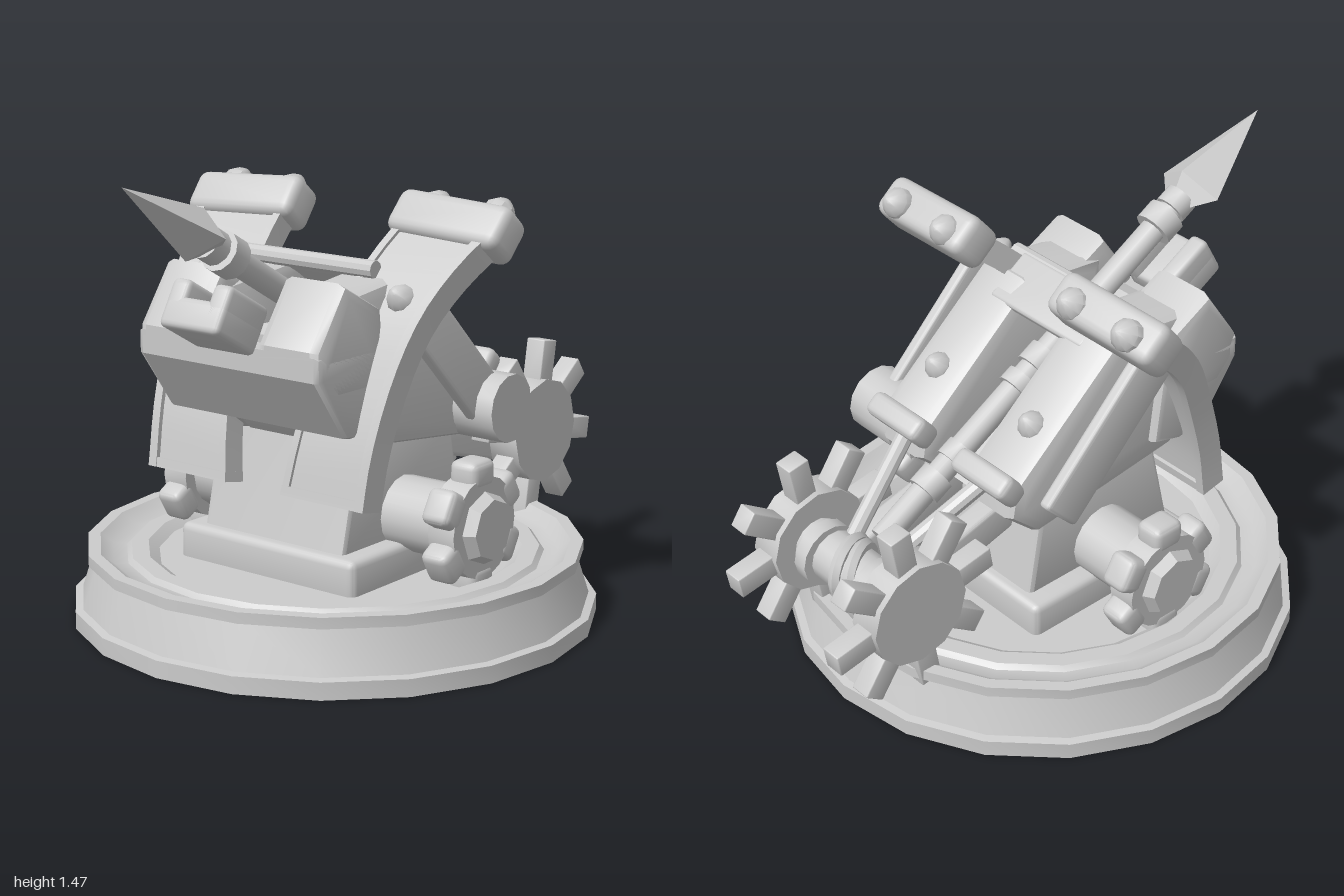
import * as THREE from 'three';
import { toCreasedNormals } from 'three/addons/utils/BufferGeometryUtils.js';
import { RoundedBoxGeometry } from 'three/addons/geometries/RoundedBoxGeometry.js';

const material = new THREE.MeshStandardMaterial({ color: 0xcccccc });

function add(parent, name, geo, x = 0, y = 0, z = 0, rx = 0) {
  const mesh = new THREE.Mesh(toCreasedNormals(geo, 0.6), material);
  mesh.name = name;
  mesh.position.set(x, y, z);
  mesh.rotation.x = rx;
  parent.add(mesh);
  return mesh;
}

const box = (w, h, d, r = 0.02) => new RoundedBoxGeometry(w, h, d, 2, r);
const cyl = (r1, r2, h, n = 14) => new THREE.CylinderGeometry(r1, r2, h, n);
const axle = (r, w, n = 14) => cyl(r, r, w, n).rotateZ(Math.PI / 2);

// side profile of [z, y] points extruded from x0 to x1, with rounded edges
function slab(points, x0, x1, bevel = 0.02) {
  const shape = new THREE.Shape(points.map(([z, y]) => new THREE.Vector2(z, y)));
  return new THREE.ExtrudeGeometry(shape, {
    depth: x1 - x0 - 2 * bevel, bevelEnabled: true, bevelSize: bevel,
    bevelOffset: -bevel, bevelThickness: bevel, bevelSegments: 2,
  }).rotateY(-Math.PI / 2).translate(x1 - bevel, 0, 0);
}

function rod(parent, name, a, b, r) {
  const A = new THREE.Vector3(...a), B = new THREE.Vector3(...b);
  const mesh = add(parent, name, cyl(r, r, A.distanceTo(B), 10));
  mesh.position.copy(A).lerp(B, 0.5);
  mesh.quaternion.setFromUnitVectors(new THREE.Vector3(0, 1, 0), B.sub(A).normalize());
}

// pointed bolt facing up before its tilt
function bolt(parent, x, y, z, tilt, r = 0.045) {
  const profile = [[r, -0.03], [r, 0.01], [r * 0.7, 0.032], [r * 0.3, 0.05], [0, 0.055]];
  add(parent, 'bolt', new THREE.LatheGeometry(profile.map(p => new THREE.Vector2(...p)), 10), x, y, z, tilt);
}

// toothed wheel turning about x
function wheel(parent, name, [x, y, z], o) {
  const g = new THREE.Group();
  g.name = name;
  g.position.set(x, y, z);
  add(g, 'disc', axle(o.disc, o.discWidth, o.sides));
  for (let i = 0; i < o.teeth; i++) {
    const a = i * Math.PI * 2 / o.teeth + o.turn;
    const length = o.outer - o.disc + 0.04, mid = o.outer - length / 2;
    add(g, 'tooth', box(o.toothWidth, length, o.tooth, o.round), 0, mid * Math.cos(a), mid * Math.sin(a), a);
  }
  parent.add(g);
}

// curved bow limb: a bent box, t runs up the limb, u across it
const limbPath = new THREE.CatmullRomCurve3([
  [0.42, 0.475], [0.385, 0.65], [0.31, 0.86], [0.23, 1.02], [0.12, 1.15], [-0.01, 1.26],
].map(([z, y]) => new THREE.Vector3(0, y, z)));

function limbStrip(u0, u1, depth, t0 = 0, t1 = 1) {
  const geo = new THREE.BoxGeometry(1, 1, 1, 1, 14, 1), p = geo.attributes.position;
  for (let i = 0; i < p.count; i++) {
    const t = t0 + (t1 - t0) * (p.getY(i) + 0.5), u = u0 + (u1 - u0) * (p.getX(i) + 0.5);
    const c = limbPath.getPoint(t), d = limbPath.getTangent(t);
    const inner = 0.11 + 0.12 * t, outer = 0.43 + 0.01 * t + 0.15 * t * t;
    const n = p.getZ(i) * depth;
    p.setXYZ(i, inner + (outer - inner) * u, c.y - d.z * n, c.z + d.y * n);
  }
  return geo;
}

// everything that exists on both sides, built for +x
function buildSide() {
  const g = new THREE.Group();

  // cheek, front shoulder and rear cap of the housing
  add(g, 'cheek', slab([[0.42, 0.7], [0.42, 1.1], [0.1, 1.135], [-0.33, 0.77], [-0.35, 0.66],
    [-0.24, 0.56], [0.33, 0.63]], 0.1, 0.325, 0.04));
  add(g, 'frontShoulder', slab([[0.575, 0.88], [0.575, 0.97], [0.445, 1.155], [0.27, 1.06],
    [0.24, 0.8], [0.5, 0.8]], 0.115, 0.358, 0.035));
  add(g, 'rearCap', box(0.24, 0.11, 0.08, 0.025), 0.205, 0.765, -0.345, -0.7);
  bolt(g, 0.22, 0.89, -0.18, -0.7);

  // bow limb with raised border, end block and bolts
  add(g, 'bowLimb', limbStrip(0.02, 0.98, 0.06));
  add(g, 'limbOuterEdge', limbStrip(0.9, 1, 0.09));
  add(g, 'limbInnerEdge', limbStrip(0, 0.08, 0.08));
  add(g, 'limbFoot', limbStrip(0, 1, 0.085, 0, 0.035));
  const head = add(g, 'limbHead', box(0.42, 0.15, 0.14, 0.035), 0.405, 1.27, -0.02, -0.7);
  head.rotation.z = -0.06;
  for (const x of [0.29, 0.52]) bolt(g, x, 1.315, -0.085, -0.95, 0.05);
  bolt(g, 0.38, 1.08, 0.215, 0.95);

  // flat strut from the pivot to the back of the limb
  add(g, 'limbStrut', box(0.045, 0.58, 0.17, 0.015), 0.39, 0.87, -0.025, 0.79);

  // base wheel on the main axle
  wheel(g, 'baseWheel', [0.54, 0.375, 0.065],
    { teeth: 6, disc: 0.16, discWidth: 0.095, sides: 18, outer: 0.21, toothWidth: 0.1, tooth: 0.115, round: 0.025, turn: 0 });
  add(g, 'wheelHub', cyl(0.115, 0.095, 0.035, 8).rotateZ(Math.PI / 2), 0.605, 0.375, 0.065);

  // winch wheel, flange, cord and bracket
  wheel(g, 'winchWheel', [0.245, 0.48, -0.695],
    { teeth: 8, disc: 0.175, discWidth: 0.11, sides: 12, outer: 0.302, toothWidth: 0.07, tooth: 0.075, round: 0.004, turn: -0.17 });
  add(g, 'drumFlange', axle(0.105, 0.05), 0.13, 0.48, -0.72);
  rod(g, 'winchCord', [0.08, 0.52, -0.66], [0.18, 0.73, -0.35], 0.028);
  add(g, 'winchBracket', box(0.08, 0.12, 0.56, 0.015), 0.12, 0.49, -0.4, -0.27);
  return g;
}

export function createModel() {
  const model = new THREE.Group();
  model.name = 'ballistaTurret';

  // round hollow base
  const profile = [[0, 0.175], [0.58, 0.175], [0.61, 0.15], [0.7, 0.15], [0.73, 0.12], [0.78, 0], [0.84, 0],
    [0.84, 0.055], [0.815, 0.06], [0.772, 0.195], [0.795, 0.2], [0.795, 0.235], [0.755, 0.235], [0.715, 0.205],
    [0.67, 0.2], [0.655, 0.215], [0.6, 0.215], [0.565, 0.19], [0, 0.19]];
  add(model, 'base', new THREE.LatheGeometry(profile.map(p => new THREE.Vector2(...p)), 20), 0, 0, 0.06);
  add(model, 'pedestalPlate', box(0.7, 0.14, 0.69, 0.025), 0, 0.23, 0.065);
  add(model, 'pedestal', slab([[0.375, 0.28], [0.285, 0.66], [-0.19, 0.62], [-0.245, 0.28]], -0.28, 0.28));
  add(model, 'mainAxle', axle(0.117, 1.16, 16), 0, 0.372, 0.065);

  // full-width front plate and housing floor below the spear channel
  add(model, 'frontPlate', slab([[0.575, 0.88], [0.575, 0.955], [0.25, 0.955], [0.22, 0.7],
    [0.33, 0.67], [0.44, 0.69]], -0.358, 0.358, 0.02));
  add(model, 'channelFloor', slab([[0.5, 0.85], [0.5, 0.98], [0.44, 1], [-0.3, 0.63],
    [-0.24, 0.565], [0.33, 0.63], [0.4, 0.7]], -0.13, 0.13, 0.012));

  // spear rest at the front
  const rest = new THREE.Group();
  rest.name = 'spearRest';
  rest.position.set(0, 1.05, 0.62);
  rest.rotation.x = -Math.PI / 6;
  add(rest, 'restBlock', box(0.23, 0.1, 0.2), 0, -0.035, 0);
  for (const s of [-1, 1]) add(rest, 'restProng', box(0.07, 0.15, 0.2), s * 0.08, -0.005, 0);
  model.add(rest);

  // mirrored halves
  for (const s of [1, -1]) {
    const side = buildSide();
    side.name = s > 0 ? 'leftSide' : 'rightSide';
    side.scale.x = s;
    model.add(side);
  }
  add(model, 'pivotDrum', axle(0.11, 0.19, 14), 0.38, 0.672, -0.235);

  // bridge over the channel
  add(model, 'bridgePlate', box(0.42, 0.04, 0.18, 0.012), 0, 1.11, 0.11, -0.6);
  add(model, 'bridgeBar', axle(0.028, 0.52, 10), 0, 1.15, 0.185);

  // winch drum with rope turns
  add(model, 'winchDrum', axle(0.085, 0.4), 0, 0.48, -0.71);
  for (const [x, tilt] of [[-0.025, 0.5], [0.02, 0.35]]) {
    const rope = new THREE.TorusGeometry(0.092, 0.022, 6, 18).rotateY(Math.PI / 2 + tilt);
    add(model, 'ropeTurn', rope, x, 0.48, -0.71);
  }

  // spear, built downwards from its tip and tilted into the channel
  const spear = new THREE.Group();
  spear.name = 'spear';
  spear.position.set(0, 1.47, 1);
  spear.rotation.x = Math.PI / 3;
  add(spear, 'spearHead', new THREE.ConeGeometry(0.12, 0.345, 4, 1, true).scale(1, 1, 0.7), 0, -0.1725, 0);
  add(spear, 'spearHeadBack', cyl(0.12, 0.05, 0.07, 4).scale(1, 1, 0.7), 0, -0.38, 0);
  add(spear, 'shaft', cyl(0.042, 0.042, 1.5, 12), 0, -1.1, 0);
  for (const [d, r, h] of [[0.42, 0.055, 0.06], [0.5, 0.066, 0.07], [1.1, 0.056, 0.07],
    [1.2, 0.056, 0.05], [1.5, 0.05, 0.06], [1.62, 0.056, 0.07]]) {
    add(spear, 'shaftCollar', cyl(r, r, h, 12), 0, -d, 0);
  }
  model.add(spear);
  return model;
}
